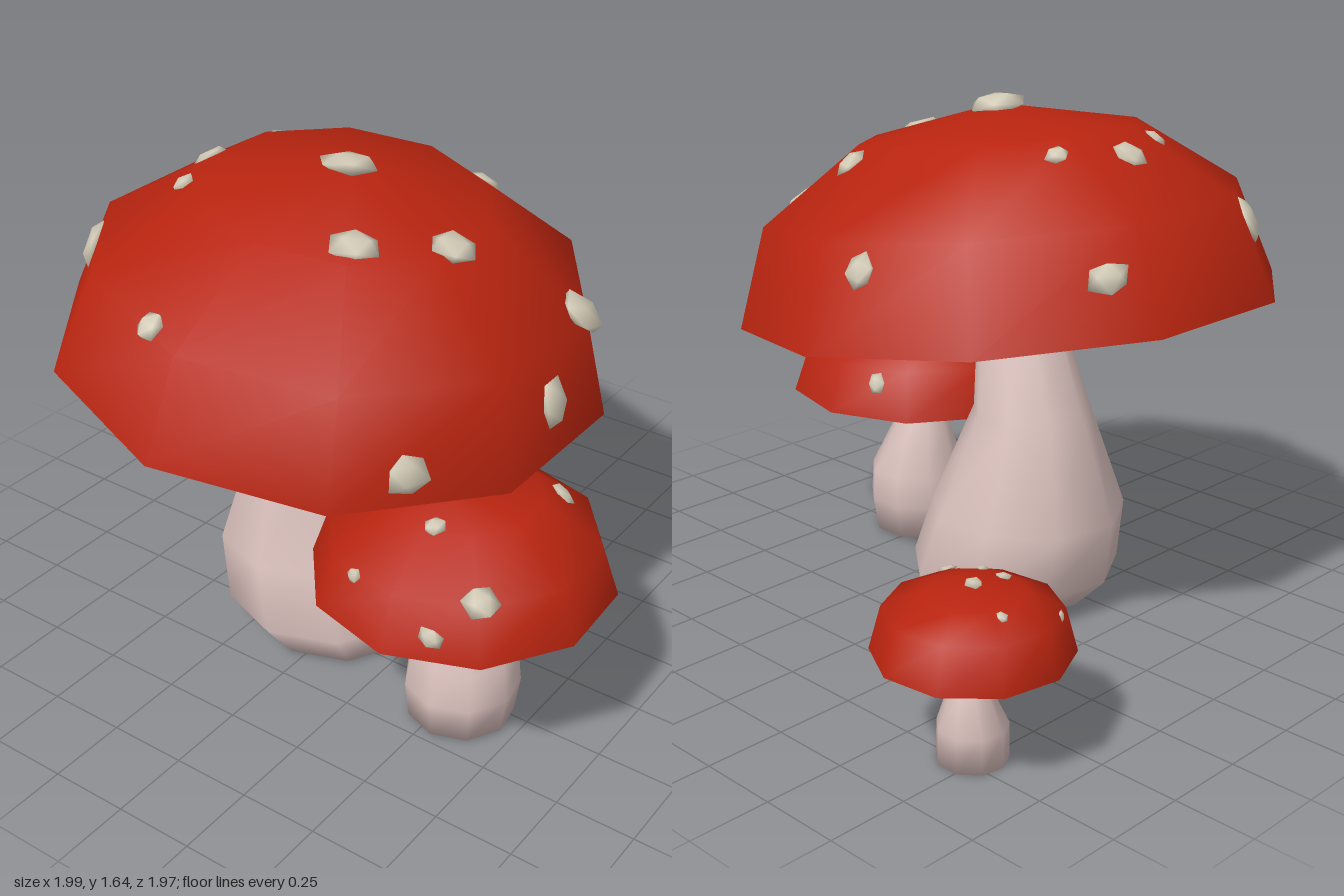
import * as THREE from 'three';
import { mergeVertices } from 'three/addons/utils/BufferGeometryUtils.js';

const capRed = new THREE.MeshStandardMaterial({ color: 0xb8240f, side: THREE.DoubleSide });
capRed.name = 'cap red';
const stemPink = new THREE.MeshStandardMaterial({ color: 0xd9c0bc });
stemPink.name = 'stem pink';
const spotCream = new THREE.MeshStandardMaterial({ color: 0xd2cab6 });
spotCream.name = 'spot cream';

let seed = 7;
function random() {
  seed = (seed * 16807) % 2147483647;
  return seed / 2147483647;
}

// Smooth skin over round sections, bottom to top: [y, centreX, centreZ, radius]
function loft(sections, sides, turn) {
  const position = [], index = [];
  sections.forEach(([y, x, z, r], j) => {
    for (let i = 0; i < sides; i++) {
      const a = turn + (i / sides) * Math.PI * 2;
      position.push(x + r * Math.sin(a), y, z + r * Math.cos(a));
      if (j === sections.length - 1) continue;
      const k = (i + 1) % sides, lo = j * sides, hi = lo + sides;
      index.push(lo + i, lo + k, hi + k, lo + i, hi + k, hi + i);
    }
  });
  let geometry = new THREE.BufferGeometry();
  geometry.setAttribute('position', new THREE.Float32BufferAttribute(position, 3));
  geometry.setIndex(index);
  geometry = mergeVertices(geometry, 1e-5);
  geometry.computeVertexNormals();
  return geometry;
}

// Leaning stem, closed at both ends
function makeStem(sections) {
  const [y0, x0, z0] = sections[0];
  const [y1, x1, z1] = sections[sections.length - 1];
  const closed = [[y0, x0, z0, 0], ...sections, [y1 + 0.01, x1, z1, 0]];
  const stem = new THREE.Mesh(loft(closed, 9, 0), stemPink);
  stem.name = 'stem';
  return stem;
}

// Open ten-sided dome with two rings between rim and apex
function makeCap({ centre, radius: r, shoulder, apex = [0, 0], turn = 0, tilt = 0 }) {
  const sections = [
    [0, 0, 0, r],
    [shoulder * r, 0, 0, 0.88 * r],
    [0.62 * r, 0, 0, 0.51 * r],
    [0.72 * r, ...apex, 0],
  ];
  const cap = new THREE.Mesh(loft(sections, 10, turn), capRed);
  cap.name = 'cap';
  cap.position.set(...centre);
  cap.rotation.z = tilt;
  cap.updateMatrixWorld(true);
  return cap;
}

// Irregular flattened lump
function lumpGeometry() {
  let geometry = new THREE.IcosahedronGeometry(1, 0);
  geometry.deleteAttribute('normal');
  geometry.deleteAttribute('uv');
  geometry = mergeVertices(geometry, 1e-4);
  const p = geometry.attributes.position;
  for (let i = 0; i < p.count; i++) {
    const s = 0.85 + random() * 0.35;
    p.setXYZ(i, p.getX(i) * s, p.getY(i) * 0.38, p.getZ(i) * s);
  }
  geometry.computeVertexNormals();
  return geometry;
}

// Spots dropped onto the dome at [x, z], listed from largest to smallest
function makeSpots(cap, largest, places) {
  const spots = new THREE.Group();
  spots.name = 'spots';
  const up = new THREE.Vector3(0, 1, 0), down = new THREE.Vector3(0, -1, 0);
  places.forEach(([x, z], i) => {
    const ray = new THREE.Raycaster(new THREE.Vector3(x, 3, z), down);
    const hit = ray.intersectObject(cap)[0];
    if (!hit) return;
    const normal = hit.face.normal.clone().transformDirection(cap.matrixWorld);
    const size = largest * (1 - (0.6 * i) / places.length);
    const spot = new THREE.Mesh(lumpGeometry(), spotCream);
    spot.name = 'spot';
    spot.position.copy(hit.point);
    spot.quaternion.setFromUnitVectors(up, normal);
    spot.rotateY(random() * 6);
    spot.scale.set(size, size, size * (0.75 + random() * 0.25));
    spots.add(spot);
  });
  return spots;
}

function makeMushroom(name, stemSections, capShape, largestSpot, spotPlaces) {
  const mushroom = new THREE.Group();
  mushroom.name = name;
  const cap = makeCap(capShape);
  mushroom.add(makeStem(stemSections), cap, makeSpots(cap, largestSpot, spotPlaces));
  return mushroom;
}

export function createModel() {
  seed = 7;
  const model = new THREE.Group();
  model.name = 'mushrooms';

  model.add(makeMushroom(
    'largeMushroom',
    [[0.015, -0.04, 0.13, 0.275], [0.12, -0.08, 0.135, 0.34], [0.33, -0.135, 0.135, 0.315],
      [0.66, -0.155, 0.13, 0.19], [1.04, -0.08, 0.13, 0.12]],
    { centre: [-0.065, 1.005, 0.13], radius: 0.85, shoulder: 0.36, tilt: -0.117 },
    0.09,
    [[0.66, -0.1], [0, 0.12], [-0.7, 0.47], [0.71, 0.13], [0.22, 0.4], [0.4, 0.19], [0.55, 0.62],
      [-0.73, -0.2], [-0.51, 0.14], [0.2, -0.3], [-0.17, -0.6], [-0.16, 0.82], [-0.43, 0.36], [-0.43, -0.08]],
  ));

  model.add(makeMushroom(
    'mediumMushroom',
    [[0.015, 0.545, 0.31, 0.165], [0.13, 0.545, 0.305, 0.18], [0.24, 0.54, 0.29, 0.165],
      [0.4, 0.53, 0.3, 0.1], [0.55, 0.545, 0.3, 0.062]],
    { centre: [0.555, 0.54, 0.335], radius: 0.455, shoulder: 0.35, apex: [-0.08, 0.04], turn: 0.055 },
    0.05,
    [[0.8, 0.63], [0.56, 0.33], [0.75, 0.12], [0.7, 0.72], [0.4, -0.03], [0.59, 0.54],
      [0.45, 0.48], [0.43, 0.7], [0.17, 0.3]],
  ));

  model.add(makeMushroom(
    'smallMushroom',
    [[0.008, -0.72, -0.715, 0.103], [0.13, -0.745, -0.74, 0.1],
      [0.23, -0.728, -0.735, 0.057], [0.34, -0.722, -0.73, 0.038]],
    { centre: [-0.72, 0.33, -0.712], radius: 0.28, shoulder: 0.45, apex: [0.05, -0.02], turn: -0.19 },
    0.03,
    [[-0.72, -0.71], [-0.51, -0.6], [-0.725, -0.6], [-0.64, -0.595], [-0.87, -0.76],
      [-0.54, -0.54], [-0.92, -0.585], [-0.77, -0.45]],
  ));

  return model;
}
